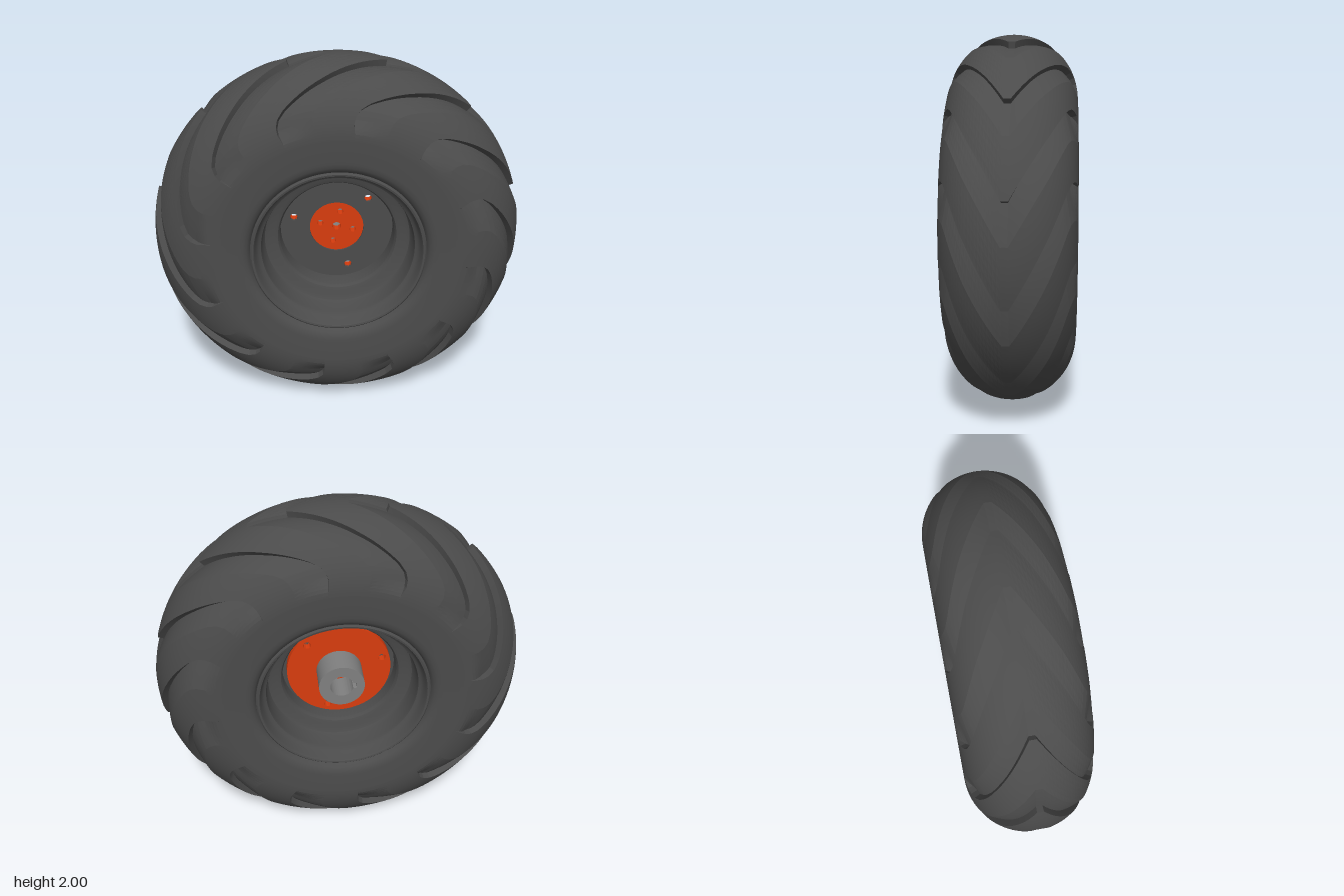
import * as THREE from 'three';
import { toCreasedNormals } from 'three/addons/utils/BufferGeometryUtils.js';

const RAD = Math.PI / 180;
const paint = (color) => new THREE.MeshStandardMaterial({ color, side: THREE.DoubleSide });
const rubber = paint(0x4b4b4b);
const rimPaint = paint(0x4b4b4b);
const red = paint(0xd83c0e);
const steel = paint(0x808080);

const TUBE = 0.345; // radius of the tyre cross-section
const CORE = 0.655; // distance of its centre from the axle

function part(name, geometry, material) {
  const mesh = new THREE.Mesh(geometry, material);
  mesh.name = name;
  return mesh;
}

// Profile of [radius, z] points turned around the z axis
function turned(points, crease = 0.5) {
  const g = new THREE.LatheGeometry(points.map(([r, z]) => new THREE.Vector2(r, z)), 96);
  g.rotateX(Math.PI / 2);
  return toCreasedNormals(g, crease);
}

// Round plate from z0 to z1; holes are [radius, distance, angle in degrees]
function plate(radius, z0, z1, holes) {
  const shape = new THREE.Shape().absarc(0, 0, radius, 0, Math.PI * 2);
  for (const [r, d, a] of holes) {
    const x = d * Math.cos(a * RAD), y = d * Math.sin(a * RAD);
    shape.holes.push(new THREE.Path().absarc(x, y, r, 0, Math.PI * 2, true));
  }
  return extruded(shape, z0, z1);
}

function extruded(shape, z0, z1) {
  const g = new THREE.ExtrudeGeometry(shape, { depth: z1 - z0, bevelEnabled: false, curveSegments: 32 });
  g.translate(0, 0, z0);
  return toCreasedNormals(g, 0.6);
}

// Sweep of a tread edge (degrees around the wheel) by angle across the tread
const SWEEP = [[0, 0], [3, 0], [36, 20], [48, 28], [57, 34], [63, 37], [69, 38.5], [75, 39], [90, 38]];
function sweep(phi) {
  const a = Math.abs(phi);
  const i = Math.max(1, SWEEP.findIndex(([p]) => p >= a));
  const [p0, s0] = SWEEP[i - 1], [p1, s1] = SWEEP[i];
  return s0 + (s1 - s0) * (a - p0) / (p1 - p0);
}

// Tread: twelve chevron bars; each gap ramps down and ends at the next bar's steep edge
function treadGeometry() {
  const BARS = 12, PITCH = 30, LAND = 6, RAMP = 4, DEPTH = 0.035, STEP = 3;
  const pos = [], index = [];
  const cols = BARS * (LAND + RAMP + 1), rows = 180 / STEP;
  for (let row = 0; row <= rows; row++) {
    const phi = -90 + row * STEP;
    const gap = 12 + 2.5 * Math.abs(phi) / 90;
    const fade = 1 - THREE.MathUtils.smoothstep(Math.abs(phi), 70, 86);
    for (let bar = 0; bar < BARS; bar++) {
      for (let k = 0; k <= LAND + RAMP; k++) {
        const ramp = Math.max(0, (k - LAND) / RAMP);
        const t = k <= LAND ? (k / LAND) * (PITCH - gap) : PITCH - gap + ramp * (gap - 0.15);
        const theta = (15 + bar * PITCH + sweep(phi) + t) * RAD;
        const tube = TUBE - DEPTH * ramp * fade;
        const r = CORE + tube * Math.cos(phi * RAD);
        pos.push(r * Math.cos(theta), r * Math.sin(theta), tube * Math.sin(phi * RAD));
      }
    }
  }
  for (let row = 0; row < rows; row++) {
    for (let c = 0; c < cols; c++) {
      const n = (c + 1) % cols;
      const a = row * cols + c, b = row * cols + n;
      index.push(a, b, b + cols, a, b + cols, a + cols);
    }
  }
  const g = new THREE.BufferGeometry();
  g.setAttribute('position', new THREE.Float32BufferAttribute(pos, 3));
  g.setIndex(index);
  return toCreasedNormals(g, 0.13);
}

export function createModel() {
  const model = new THREE.Group();
  model.name = 'wheel';
  const wheel = new THREE.Group();
  wheel.name = 'wheelAssembly';
  wheel.position.y = 1;
  model.add(wheel);

  wheel.add(part('tread', treadGeometry(), rubber));

  // Flat sidewall with rounded bead, and stepped rim well, on both faces
  const sidewall = [[0.66, 0.345], [0.53, 0.345], [0.505, 0.341], [0.485, 0.331], [0.472, 0.315], [0.465, 0.29]];
  const well = [[0.47, 0.29], [0.468, 0.312], [0.46, 0.32], [0.45, 0.318], [0.443, 0.305], [0.437, 0.275],
    [0.425, 0.258], [0.412, 0.25], [0.408, 0.235], [0.405, 0.155], [0.395, 0.135], [0.375, 0.125],
    [0.345, 0.12], [0.325, 0.112], [0.315, 0.095], [0.312, 0.0]];
  for (const [side, s] of [['front', 1], ['back', -1]]) {
    const flip = (pts) => {
      const out = pts.map(([r, z]) => [r, z * s]);
      return s > 0 ? out.reverse() : out;
    };
    wheel.add(part(side + 'Sidewall', turned(flip(sidewall)), rubber));
    wheel.add(part(side + 'RimWell', turned(flip(well)), rimPaint));
  }

  // Wheel disc with a wide centre opening, and the red mounting plate behind it
  const wheelHoles = [45, 165, 285].map((a) => [0.021, 0.246, a]);
  const boltHoles = [77, 167, 257, 347].map((a) => [0.017, 0.093, a]);
  wheel.add(part('wheelDisc', plate(0.314, -0.02, 0, [[0.15, 0, 0], ...wheelHoles]), rimPaint));
  wheel.add(part('mountingPlate', plate(0.288, -0.06, -0.012, [[0.023, 0, 0], ...wheelHoles, ...boltHoles]), red));

  // Hub with a keyed bore
  const hub = new THREE.Shape().absarc(0, 0, 0.125, 0, Math.PI * 2);
  const bore = new THREE.Path();
  const key = 0.016, r = 0.064, a = Math.asin(key / r);
  bore.absarc(0, 0, r, Math.PI - a, -Math.PI + a, true);
  bore.lineTo(-0.082, -key);
  bore.lineTo(-0.082, key);
  bore.closePath();
  hub.holes.push(bore);
  wheel.add(part('hub', extruded(hub, -0.215, -0.06), steel));

  // Set screw over the keyway
  const screw = part('setScrew', new THREE.CylinderGeometry(0.012, 0.012, 0.02, 16), rimPaint);
  screw.rotation.z = Math.PI / 2;
  screw.position.set(-0.116, 0, -0.14);
  wheel.add(screw);

  return model;
}
